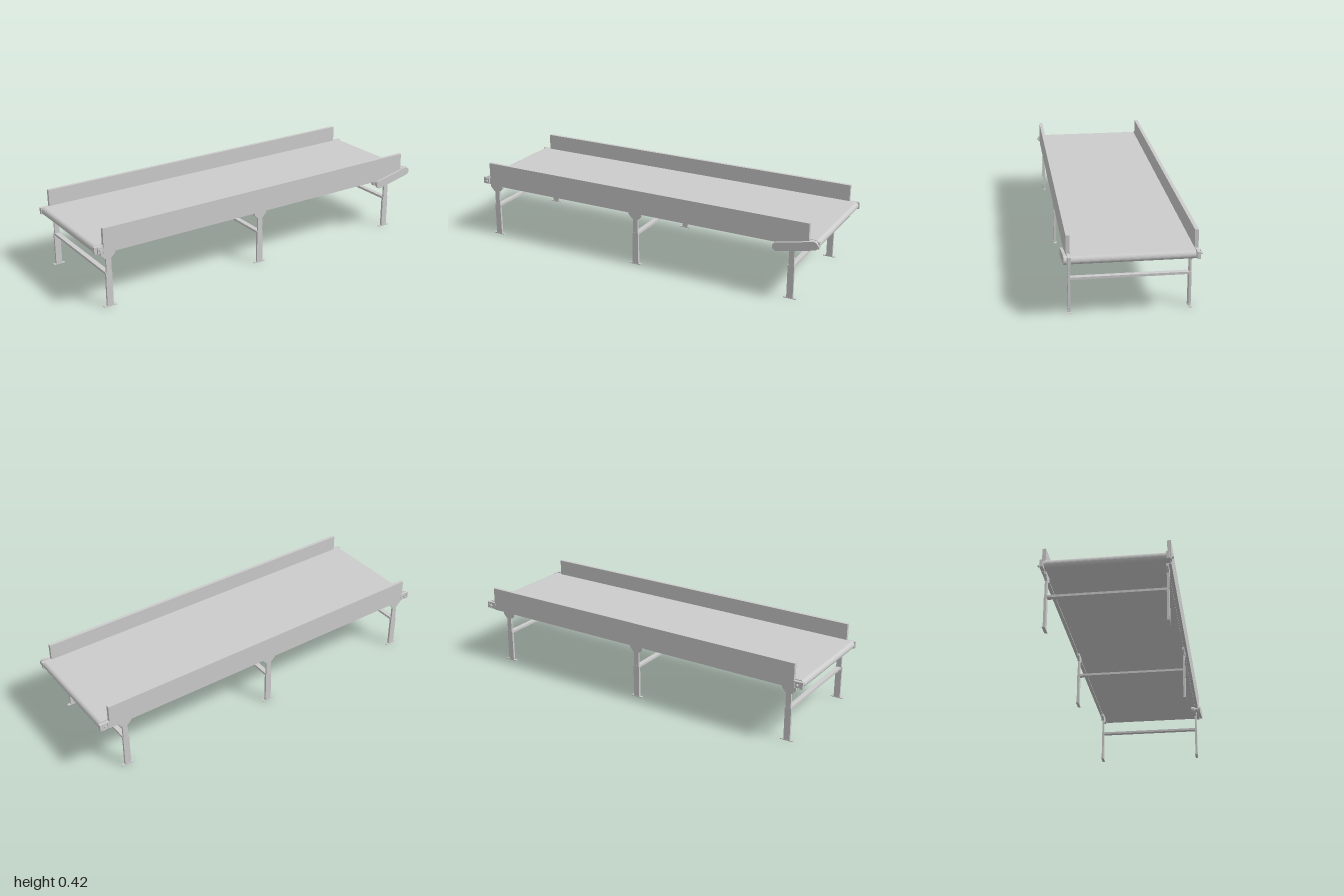
import * as THREE from 'three';

const grey = new THREE.MeshStandardMaterial({ color: 0xcccccc });

function add(parent, name, geometry, x = 0, y = 0, z = 0) {
  const mesh = new THREE.Mesh(geometry, grey);
  mesh.name = name;
  mesh.position.set(x, y, z);
  parent.add(mesh);
  return mesh;
}

function box(parent, name, x0, x1, y0, y1, z0, z1) {
  return add(parent, name, new THREE.BoxGeometry(x1 - x0, y1 - y0, z1 - z0),
    (x0 + x1) / 2, (y0 + y1) / 2, (z0 + z1) / 2);
}

// cylinder lying along z
function drum(parent, name, r, x, y, z0, z1) {
  const g = new THREE.CylinderGeometry(r, r, Math.abs(z1 - z0), 24).rotateX(Math.PI / 2);
  return add(parent, name, g, x, y, (z0 + z1) / 2);
}

// slot outline with round ends, centred on the origin, extruded along z
function slot(halfLength, r, depth) {
  const s = new THREE.Shape();
  s.absarc(halfLength, 0, r, -Math.PI / 2, Math.PI / 2, false);
  s.absarc(-halfLength, 0, r, Math.PI / 2, Math.PI * 1.5, false);
  s.closePath();
  return new THREE.ExtrudeGeometry(s, { depth, bevelEnabled: false, curveSegments: 12 })
    .translate(0, 0, -depth / 2);
}

// flared bracket that joins a leg to the frame
function gusset() {
  const s = new THREE.Shape([[-0.038, 0.295], [-0.038, 0.28], [-0.018, 0.258],
    [0.018, 0.258], [0.038, 0.28], [0.038, 0.295]].map(p => new THREE.Vector2(...p)));
  return new THREE.ExtrudeGeometry(s, { depth: 0.012, bevelEnabled: false })
    .translate(0, 0, -0.006);
}

function makeStand(x) {
  const stand = new THREE.Group();
  stand.name = 'legStand';
  stand.position.x = x;
  for (const side of [-1, 1]) {
    const z = side * 0.29;
    box(stand, 'foot', -0.033, 0.033, 0, 0.004, z - 0.007, z + 0.007);
    box(stand, 'lowerLeg', -0.017, 0.017, 0.004, 0.18, z - 0.006, z + 0.006);
    box(stand, 'upperLeg', -0.013, 0.015, 0.18, 0.26, z - 0.005, z + 0.005);
    add(stand, 'legBracket', gusset(), 0, 0, z);
  }
  box(stand, 'crossBar', -0.013, 0.013, 0.167, 0.179, -0.285, 0.285);
  return stand;
}

export function createModel() {
  const model = new THREE.Group();
  model.name = 'beltConveyor';

  // belt loop around the end rollers
  add(model, 'belt', slot(0.977, 0.02, 0.58), 0, 0.317, 0);

  // side guards, frame rails and end bearings
  for (const side of [-1, 1]) {
    const z = side * 0.3;
    box(model, 'sideGuard', -0.95, 0.945, 0.295, 0.424, z - 0.009, z + 0.009);
    for (const end of [-1, 1]) {
      const x = end * 0.97;
      box(model, 'endPlate', x - 0.028, x + 0.028, 0.299, 0.335, z - 0.01, z + 0.006);
      box(model, 'bearingBlock', x - 0.013, x + 0.013, 0.302, 0.332, side * 0.306, side * 0.314);
      drum(model, 'rollerShaft', 0.006, x, 0.317, side * 0.3, side * 0.323);
    }
  }

  for (const x of [-0.92, -0.025, 0.855]) model.add(makeStand(x));

  // sloping drive cover and the motor behind it
  const drive = new THREE.Group();
  drive.name = 'drive';
  const cover = add(drive, 'driveCover', slot(0.098, 0.022, 0.014), 0.88, 0.297, 0.317);
  cover.rotation.z = Math.atan2(0.041, 0.19);
  drum(drive, 'motorBody', 0.019, 0.785, 0.276, 0.27, 0.288);
  drum(drive, 'motorNeck', 0.012, 0.785, 0.276, 0.286, 0.312);
  model.add(drive);

  return model;
}
